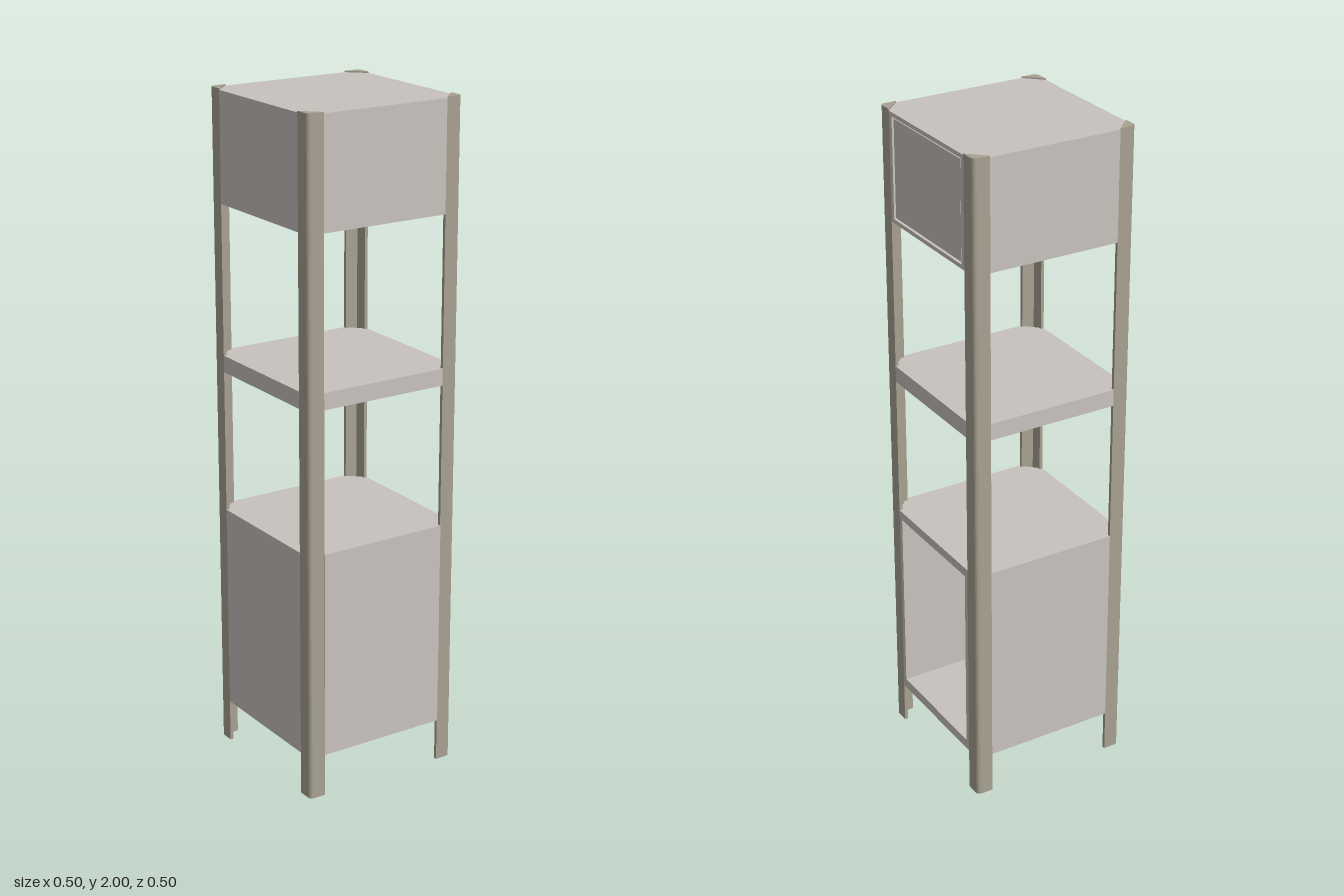
import * as THREE from 'three';

export function createModel() {
  const model = new THREE.Group();
  const panel = new THREE.MeshStandardMaterial({ name: 'warm grey panel', color: 0xc8c2bd });
  const metal = new THREE.MeshStandardMaterial({ name: 'tan post', color: 0xa7a191 });

  const H = 0.25, C = 0.2; // half width, start of the corner cut

  // Plan outline extruded upwards from y0 to y1
  function slab(name, shape, y0, y1, material, parent = model) {
    const geometry = new THREE.ExtrudeGeometry(shape, { depth: y1 - y0, bevelEnabled: false, curveSegments: 6 });
    geometry.rotateX(-Math.PI / 2).translate(0, y0, 0);
    const mesh = new THREE.Mesh(geometry, material);
    mesh.name = name;
    parent.add(mesh);
  }
  function box(name, size, position) {
    const mesh = new THREE.Mesh(new THREE.BoxGeometry(...size), panel);
    mesh.name = name;
    mesh.position.set(...position);
    model.add(mesh);
  }
  const outline = (points) => new THREE.Shape(points.map((p) => new THREE.Vector2(...p)));

  // Board with cut corners, and the same outline hollowed with one open side
  const board = outline([[H, -C], [H, C], [C, H], [-C, H], [-H, C], [-H, -C], [-C, -H], [C, -H]]);
  const inner = 0.185, wall = -0.235;
  const walls = outline([
    [H, inner], [H, C], [C, H], [-C, H], [-H, C], [-H, -C], [-C, -H], [C, -H], [H, -C],
    [H, -inner], [wall, -inner], [wall, inner],
  ]);

  function cabinet(name, y0, y1, floor, roof) {
    slab(name + 'Floor', board, y0, y0 + floor, panel);
    slab(name + 'Walls', walls, y0 + floor, y1 - roof, panel);
    slab(name + 'Roof', board, y1 - roof, y1, panel);
  }

  // Lower open cabinet with a thin front sheet
  cabinet('lowerCabinet', 0.13, 0.755, 0.03, 0.027);
  box('lowerFrontSheet', [0.4, 0.625, 0.004], [0, 0.4425, 0.25]);

  // Middle shelf
  slab('middleShelf', board, 1.18, 1.23, panel);

  // Upper cabinet with a drawer set into its open side
  cabinet('upperCabinet', 1.675, 1.996, 0.012, 0.012);
  box('drawer', [0.47, 0.287, 0.358], [0.012, 1.8355, 0]);

  // Corner posts: rounded angle profile closed by a cap
  const r = 0.015, t = 0.01;
  function corner(innerPoints) {
    const s = new THREE.Shape();
    s.moveTo(H, C);
    s.lineTo(H, H - r);
    s.quadraticCurveTo(H, H, H - r, H);
    s.lineTo(C, H);
    innerPoints.forEach((p) => s.lineTo(...p));
    s.closePath();
    return s;
  }
  const angle = corner([[C, H - t], [H - t, H - t], [H - t, C]]);
  const cap = corner([]);
  for (let i = 0; i < 4; i++) {
    const post = new THREE.Group();
    post.name = 'cornerPost' + (i + 1);
    slab('postAngle', angle, 0, 1.99, metal, post);
    slab('postCap', cap, 1.99, 2, metal, post);
    post.rotation.y = (i * Math.PI) / 2;
    model.add(post);
  }
  return model;
}
